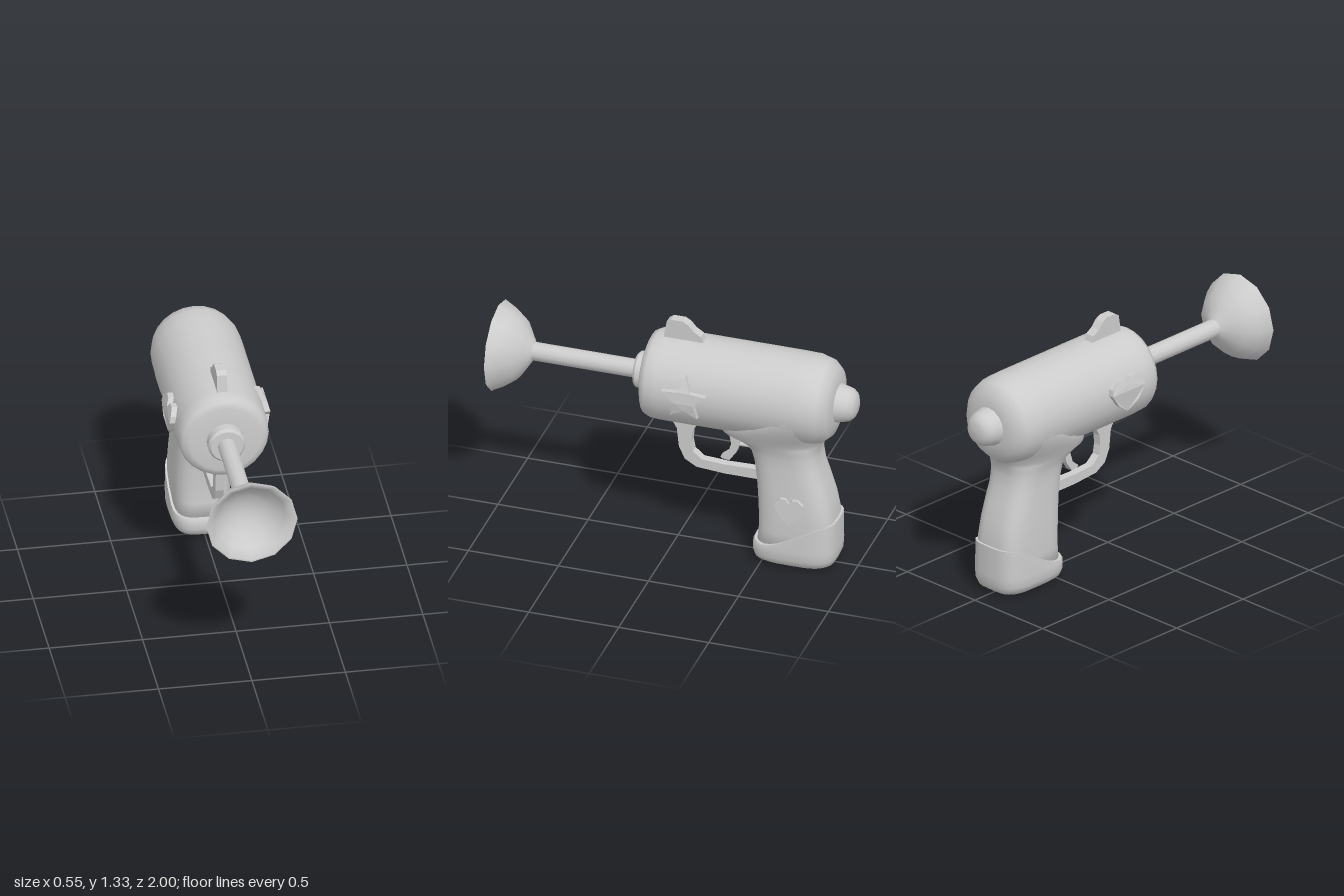
import * as THREE from 'three';
import { toCreasedNormals } from 'three/addons/utils/BufferGeometryUtils.js';

const AXIS_Y = 0.98; // height of the barrel axis
const BODY_R = 0.245;

export function createModel() {
  const model = new THREE.Group();
  model.name = 'toyPlungerGun';
  const grey = new THREE.MeshStandardMaterial({ color: 0xcccccc });
  grey.name = 'plain grey';

  function add(name, geometry) {
    const mesh = new THREE.Mesh(geometry, grey);
    mesh.name = name;
    model.add(mesh);
    return mesh;
  }

  // Turned part along z from [z, radius] pairs, listed back to front
  function turned(name, profile, sides, crease) {
    const pts = profile.map(([z, r]) => new THREE.Vector2(r, z));
    const g = new THREE.LatheGeometry(pts, sides).rotateX(Math.PI / 2).translate(0, AXIS_Y, 0);
    return add(name, crease ? toCreasedNormals(g, crease) : g);
  }

  // Stacked rounded sections: [y, halfWidth, zFront, zBack, squareness]
  function loft(rows, heightAt) {
    const N = 32, pos = [], idx = [];
    const power = (v, n) => Math.sign(v) * Math.abs(v) ** (2 / n);
    rows.forEach(([y, hw, zf, zb, n]) => {
      for (let i = 0; i < N; i++) {
        const t = (i / N) * Math.PI * 2;
        const z = (zf + zb) / 2 + ((zf - zb) / 2) * power(Math.sin(t), n);
        pos.push(hw * power(Math.cos(t), n), y === null ? heightAt(z) : y, z);
      }
    });
    for (let j = 0; j < rows.length - 1; j++) {
      for (let i = 0; i < N; i++) {
        const a = j * N + i, b = j * N + ((i + 1) % N);
        idx.push(a, a + N, b, b, a + N, b + N);
      }
    }
    // Close the bottom
    const [y, , zf, zb] = rows[0];
    pos.push(0, y, (zf + zb) / 2);
    for (let i = 0; i < N; i++) idx.push(rows.length * N, i, (i + 1) % N);
    const g = new THREE.BufferGeometry();
    g.setAttribute('position', new THREE.Float32BufferAttribute(pos, 3));
    g.setIndex(idx);
    g.computeVertexNormals();
    return g;
  }

  // Flat part in the z-y plane, centred on x = 0, from [z, y] points
  function plate(points, thickness) {
    const shape = new THREE.Shape(points.map(([z, y]) => new THREE.Vector2(-z, y)));
    const g = new THREE.ExtrudeGeometry(shape, { depth: thickness, bevelEnabled: false });
    return g.translate(0, 0, -thickness / 2).rotateY(Math.PI / 2);
  }

  // Badge whose every corner follows the surface: x = surface(y) on the chosen side
  function badge(name, points, thickness, side, surface) {
    const g = plate(points, thickness);
    if (side < 0) g.rotateY(Math.PI).scale(1, 1, 1);
    const p = g.attributes.position;
    for (let i = 0; i < p.count; i++) {
      p.setX(i, p.getX(i) + side * (surface(p.getY(i)) + thickness / 2));
    }
    g.computeVertexNormals();
    return add(name, g);
  }

  // Body, collar, rod, suction cup and rear knob
  turned('body', [
    [-0.897, 0], [-0.895, 0.11], [-0.875, 0.185], [-0.83, 0.225], [-0.765, 0.243], [-0.68, BODY_R],
    [0.06, BODY_R], [0.115, 0.241], [0.145, 0.225], [0.158, 0.19], [0.162, 0.1], [0.162, 0],
  ], 24);
  turned('collar', [[0.14, 0.1], [0.212, 0.1], [0.226, 0.088], [0.228, 0]], 16, 0.6);
  turned('rod', [[0.2, 0.05], [0.82, 0.05]], 12);
  turned('suctionCup', [
    [0.795, 0.045], [0.83, 0.1], [0.872, 0.166], [0.93, 0.209], [0.998, 0.245], [1, 0.232],
    [0.955, 0.19], [0.905, 0.14], [0.875, 0.09], [0.86, 0.04], [0.858, 0],
  ], 12, 1.3);
  turned('rearKnob', [
    [-1, 0], [-0.998, 0.04], [-0.985, 0.07], [-0.96, 0.09], [-0.9, 0.105], [-0.87, 0.115],
  ], 16);

  // Grip flaring into the body
  add('grip', loft([
    [0.08, 0.15, -0.455, -0.885, 3.4],
    [0.2, 0.155, -0.468, -0.887, 3.4],
    [0.3, 0.156, -0.468, -0.884, 3.4],
    [0.4, 0.153, -0.463, -0.865, 3.3],
    [0.5, 0.15, -0.455, -0.835, 3.2],
    [0.59, 0.147, -0.442, -0.805, 3.1],
    [0.66, 0.15, -0.422, -0.795, 3],
    [0.7, 0.16, -0.385, -0.8, 2.8],
    [0.73, 0.17, -0.32, -0.81, 2.6],
    [0.75, 0.178, -0.25, -0.82, 2.4],
    [0.8, 0.201, -0.26, -0.85, 2.4],
    [0.85, 0.222, -0.32, -0.873, 2.4],
    [0.9, 0.236, -0.4, -0.885, 2.4],
    [0.96, 0.243, -0.5, -0.885, 2.4],
  ]));

  // Grip cap with a top edge sweeping up to the back
  const capEdge = (z) => 0.122 + 0.155 * THREE.MathUtils.smoothstep(-z, 0.5, 0.9);
  add('gripCap', toCreasedNormals(loft([
    [0, 0.09, -0.54, -0.81, 3],
    [0.008, 0.13, -0.475, -0.86, 3.4],
    [0.025, 0.152, -0.445, -0.885, 3.4],
    [0.06, 0.166, -0.436, -0.899, 3.4],
    [0.11, 0.168, -0.438, -0.902, 3.4],
    [null, 0.165, -0.446, -0.9, 3.4],
    [null, 0.145, -0.48, -0.87, 3.4],
  ], capEdge), 0.9));

  // Top sight
  add('sight', plate([
    [0.075, 1.2], [0.055, 1.315], [0.03, 1.332], [-0.035, 1.332], [-0.065, 1.315],
    [-0.095, 1.28], [-0.135, 1.255], [-0.155, 1.2],
  ], 0.054));

  // Trigger guard, trigger and pin
  add('triggerGuard', plate([
    [0.05, 0.77], [0.035, 0.73], [0, 0.67], [-0.012, 0.56], [-0.045, 0.49], [-0.11, 0.452],
    [-0.27, 0.44], [-0.49, 0.44], [-0.49, 0.5], [-0.27, 0.495], [-0.14, 0.503], [-0.09, 0.545],
    [-0.08, 0.6], [-0.085, 0.66], [-0.115, 0.715], [-0.14, 0.77],
  ], 0.046));
  add('trigger', plate([
    [-0.24, 0.77], [-0.255, 0.72], [-0.29, 0.685], [-0.302, 0.63], [-0.285, 0.575], [-0.242, 0.54],
    [-0.25, 0.53], [-0.29, 0.525], [-0.33, 0.58], [-0.35, 0.65], [-0.345, 0.77],
  ], 0.042));
  const pin = add('triggerPin', new THREE.CylinderGeometry(0.012, 0.012, 0.14, 8).rotateX(Math.PI / 2));
  pin.position.set(0, 0.625, -0.4);

  // Star and hearts
  const bodySide = (y) => Math.sqrt(BODY_R ** 2 - (y - AXIS_Y) ** 2);
  const gripSide = (y) => 0.154 + (0.36 - y) * 0.06;
  const star = Array.from({ length: 10 }, (_, i) => {
    const a = (i / 10) * Math.PI * 2, r = i % 2 ? 0.057 : 0.128;
    return [-0.115 + r * Math.sin(a), 0.995 + r * Math.cos(a)];
  });
  const half = [[0.22, 0.92], [0.6, 0.95], [0.95, 0.6], [1, 0.25], [0.6, -0.45]];
  const unitHeart = [[0, 0.58], ...half, [0, -1], ...half.map(([u, v]) => [-u, v]).reverse()];
  const heart = (z, y, w, h) => unitHeart.map(([u, v]) => [z + u * w, y + v * h]);
  badge('star', star, 0.03, 1, bodySide);
  badge('bodyHeart', heart(-0.115, 0.99, 0.122, 0.1), 0.03, -1, bodySide);
  badge('gripHeart', heart(-0.67, 0.36, 0.081, 0.078), 0.02, 1, gripSide);

  // The half-turned body heart is brought back to its place along the barrel
  model.getObjectByName('bodyHeart').position.z = -0.23;
  return model;
}
